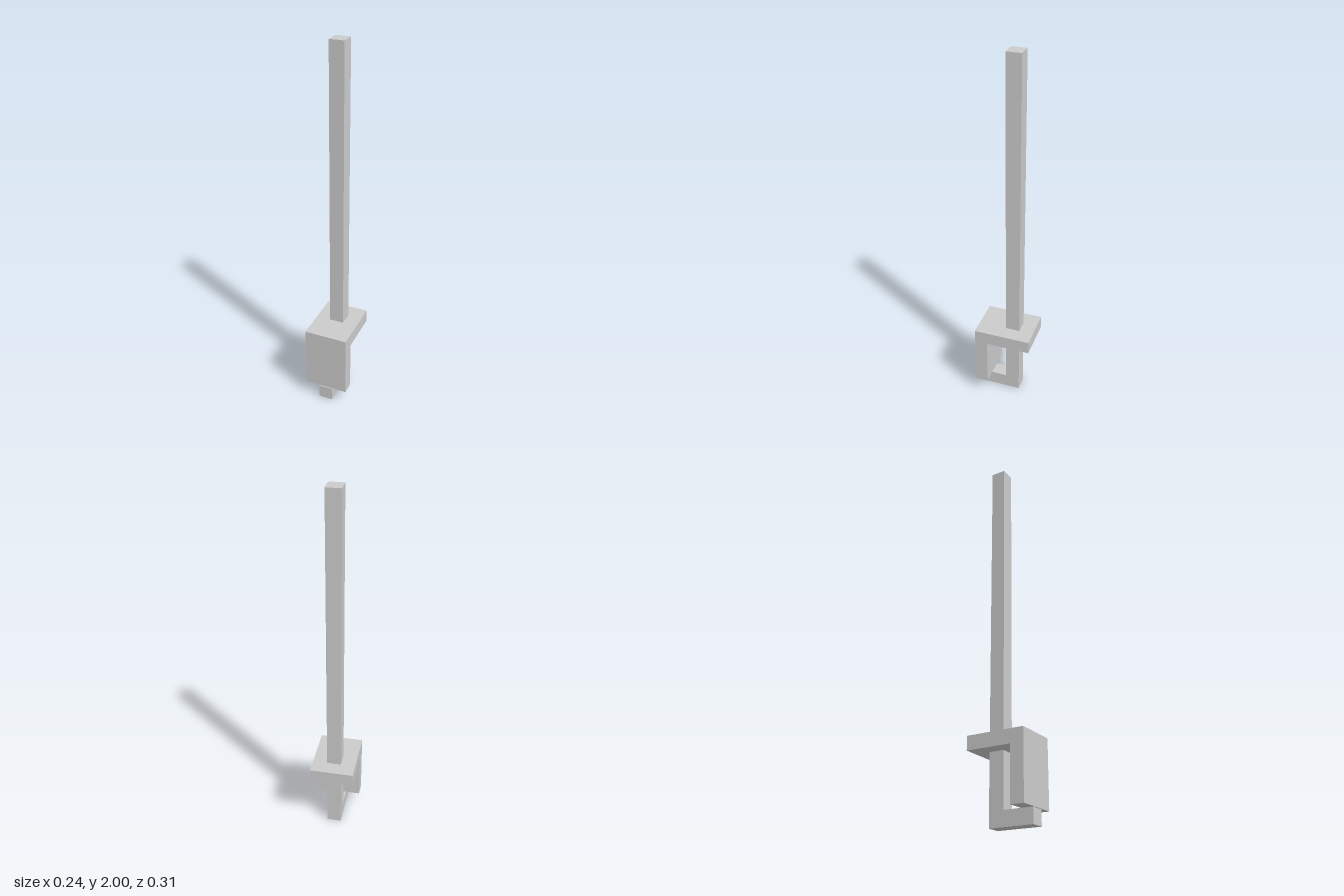
import * as THREE from 'three';

const material = new THREE.MeshStandardMaterial({ color: 0xcccccc, flatShading: true });

// Extrudes a [z, y] side profile across x, centred on x = 0.
function sideProfile(name, points, width) {
  const shape = new THREE.Shape(points.map(([z, y]) => new THREE.Vector2(-z, y)));
  const geometry = new THREE.ExtrudeGeometry(shape, { depth: width, bevelEnabled: false });
  geometry.translate(0, 0, -width / 2);
  geometry.rotateY(Math.PI / 2);
  const mesh = new THREE.Mesh(geometry, material);
  mesh.name = name;
  return mesh;
}

export function createModel() {
  const model = new THREE.Group();
  model.name = 'hilted bar';

  // Long square bar with a foot that turns forward at the bottom
  model.add(sideProfile('barAndFoot', [
    [-0.078, 0], [0.157, 0], [0.157, 0.078], [0, 0.078], [0, 2], [-0.078, 2],
  ], 0.078));

  // Wide cross plate with a front plate hanging from it
  model.add(sideProfile('handGuard', [
    [-0.157, 0.36], [0.084, 0.36], [0.084, 0.081], [0.155, 0.081], [0.155, 0.433], [-0.157, 0.433],
  ], 0.238));

  return model;
}
